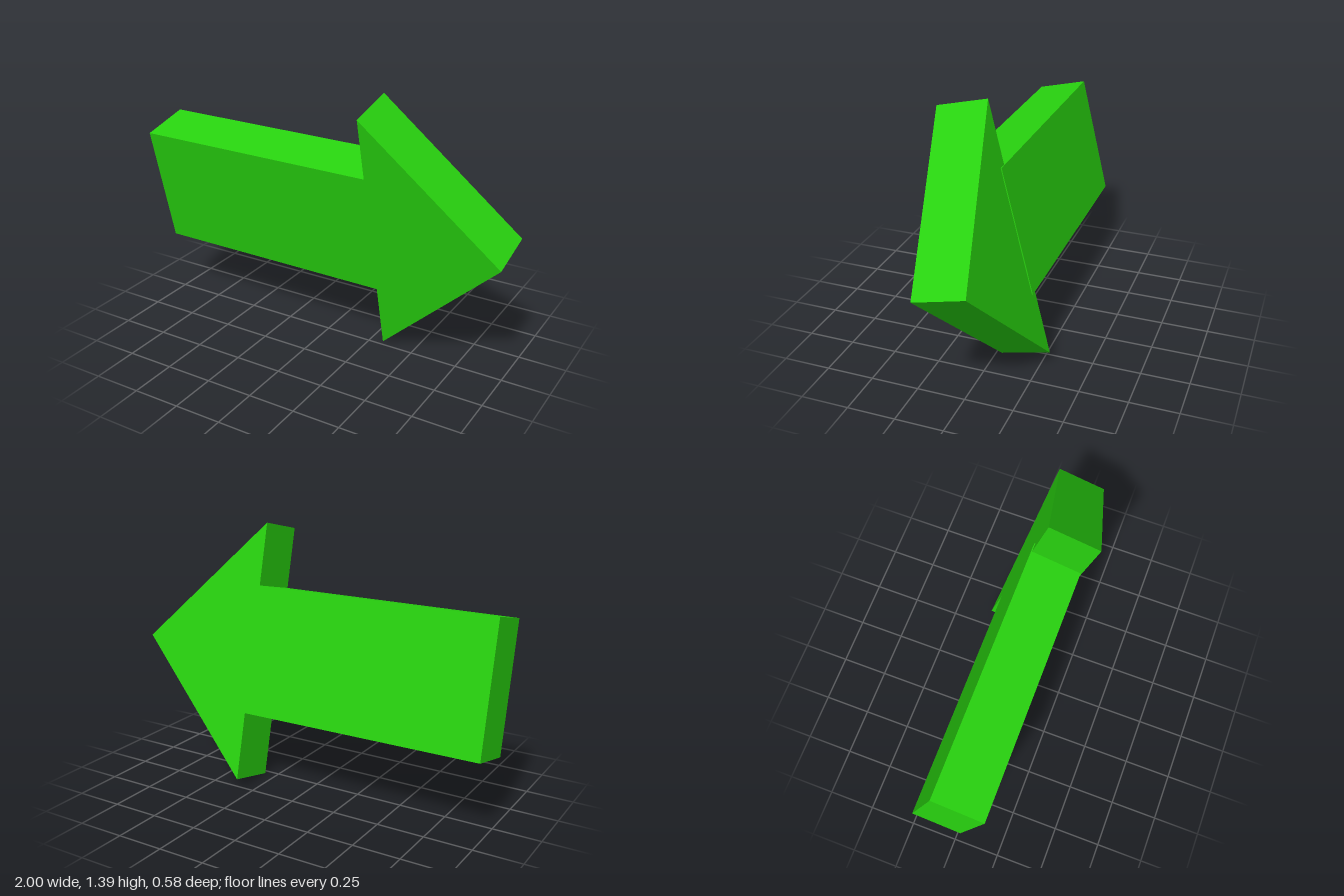
import * as THREE from 'three';

export function createModel() {
  const model = new THREE.Group();
  const green = new THREE.MeshStandardMaterial({ color: 0x28d20f, flatShading: true });
  const thickness = 0.27;

  // The whole arrow leans forward about the x axis
  const arrow = new THREE.Group();
  arrow.name = 'arrow';
  arrow.position.y = 0.696;
  arrow.rotation.x = 0.237;
  model.add(arrow);

  // Triangular head, pointing to +x
  const outline = new THREE.Shape();
  outline.moveTo(0.32, -0.68);
  outline.lineTo(1, 0);
  outline.lineTo(0.32, 0.68);
  outline.closePath();
  const headGeometry = new THREE.ExtrudeGeometry(outline, { depth: thickness, bevelEnabled: false });
  headGeometry.translate(0, 0, -thickness / 2);
  const head = new THREE.Mesh(headGeometry, green);
  head.name = 'arrowHead';
  arrow.add(head);

  // Shaft, run a little way into the head and set slightly back and up
  const shaft = new THREE.Mesh(new THREE.BoxGeometry(1.362, 0.675, thickness), green);
  shaft.name = 'arrowShaft';
  shaft.position.set(-0.317, 0.02, -0.005);
  shaft.rotation.z = -0.006;
  arrow.add(shaft);

  return model;
}
